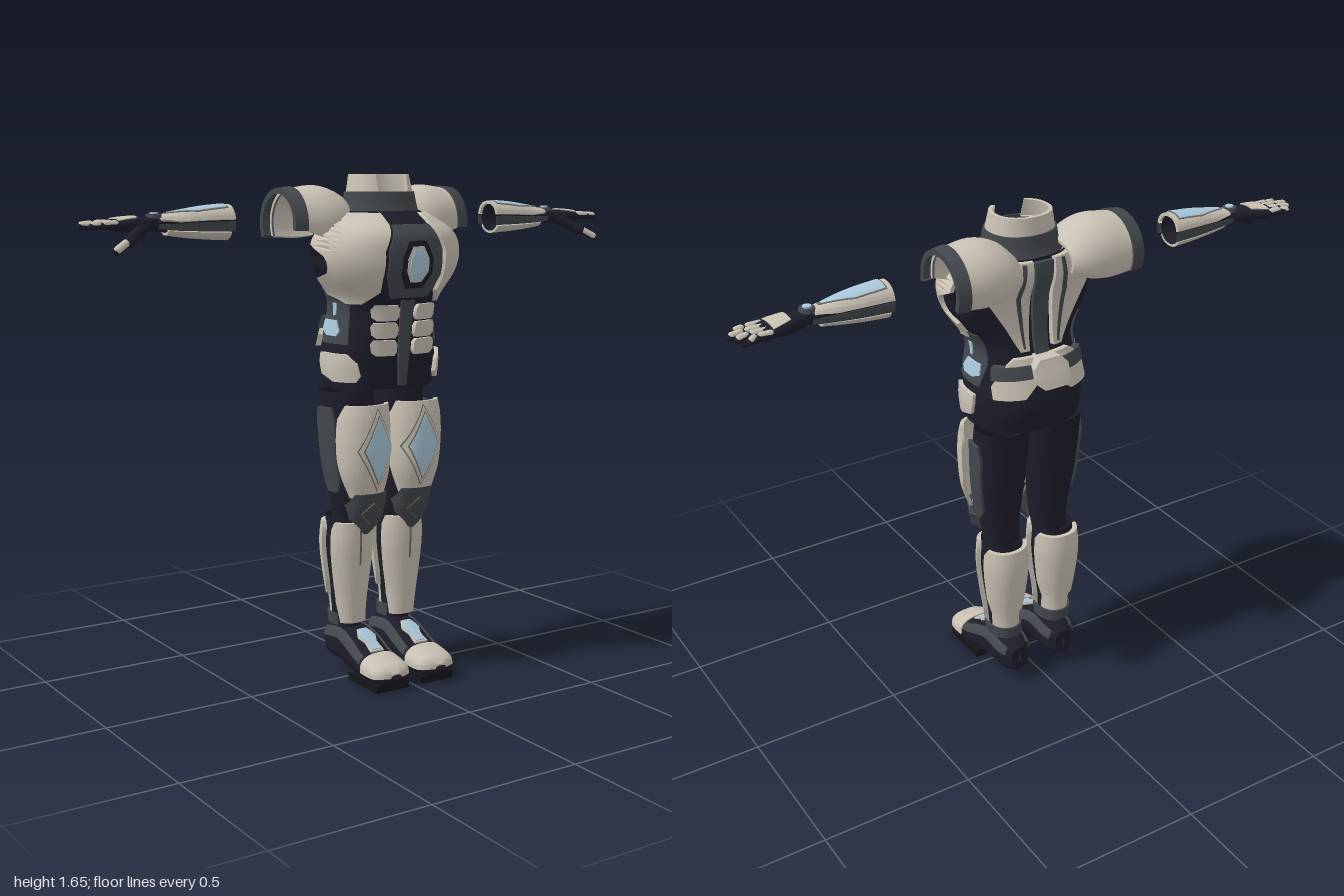
import * as THREE from 'three';
import { toCreasedNormals } from 'three/addons/utils/BufferGeometryUtils.js';

const paint = (name, color) => {
  const m = new THREE.MeshStandardMaterial({ color, side: THREE.DoubleSide });
  m.name = name;
  return m;
};
const ivory = paint('ivory armour', 0xc9c2b4), navy = paint('navy undersuit', 0x1d1d2a);
const grey = paint('dark grey trim', 0x43484d), blue = paint('pale blue glass', 0xa9c8da);
const seam = paint('seam brown', 0x6f6a60), black = paint('black sole', 0x15151a);

// Smooth interpolation of cross-section rows [t, cx, cz, rx, rFront, rBack]
function section(rows, t) {
  let i = 0;
  while (i < rows.length - 2 && t > rows[i + 1][0]) i++;
  const slope = (k, c) => {
    const a = rows[Math.max(k - 1, 0)], b = rows[Math.min(k + 1, rows.length - 1)];
    return (b[c] - a[c]) / (b[0] - a[0]);
  };
  const p = rows[i], q = rows[i + 1], h = q[0] - p[0];
  const u = THREE.MathUtils.clamp((t - p[0]) / h, 0, 1), u2 = u * u, u3 = u2 * u;
  return p.map((v, c) => (2 * u3 - 3 * u2 + 1) * v + (3 * u2 - 2 * u3) * q[c]
    + h * ((u3 - 2 * u2 + u) * slope(i, c) + (u3 - u2) * slope(i + 1, c)));
}

// A body of superelliptic sections; angle 0 is the front, 90 the side, 180 the back
function body(rows, axis = 'y', e = 0.9) {
  const bend = v => Math.sign(v) * Math.abs(v) ** e;
  return {
    at(t, deg, lift) {
      const [, cx, cz, rx, rf, rb] = section(rows, t), a = deg * Math.PI / 180;
      const c = Math.cos(a), x = cx + (rx + lift) * bend(Math.sin(a));
      const z = cz + ((c > 0 ? rf : rb) + lift) * bend(c);
      return axis === 'x' ? [t, -x, z] : axis === 'z' ? [x, -z, t] : [x, t, z];
    },
    // Angle at which the section has the given sideways offset
    angle(t, x) {
      const rx = section(rows, t)[3];
      return Math.sign(x) * Math.asin(Math.min(1, Math.abs(x) / rx) ** (1 / e)) * 180 / Math.PI;
    },
  };
}

// A raised plate on a body; outline rows are [t, start, end], in degrees or offsets
function plate(parent, name, mat, surf, outline, lift = 0, by = 'angle', base = 0) {
  const ts = [], cols = by === 'angle' ? 40 : 14;
  for (let i = 0; i < outline.length - 1; i++) {
    const [a, b] = [outline[i], outline[i + 1]];
    const n = Math.max(1, Math.ceil((b[0] - a[0]) / 0.02));
    for (let k = i ? 1 : 0; k <= n; k++) ts.push(a.map((v, c) => v + (b[c] - v) * k / n));
  }
  const pos = [], idx = [], W = cols + 1, H = ts.length;
  const point = (i, j, l) => {
    const [t, s, e] = ts[i], v = s + (e - s) * (by === 'back' ? 1 - j / cols : j / cols);
    const a = by === 'angle' ? v : by === 'front' ? surf.angle(t, v) : 180 - surf.angle(t, v);
    return surf.at(t, a, l);
  };
  for (let i = 0; i < H; i++) for (let j = 0; j < W; j++) pos.push(...point(i, j, lift));
  for (let i = 0; i < H - 1; i++) for (let j = 0; j < cols; j++) {
    const k = i * W + j;
    idx.push(k, k + 1, k + W + 1, k, k + W + 1, k + W);
  }
  if (lift > base) {   // edge of the plate
    const rim = [];
    for (let j = 0; j < cols; j++) rim.push([0, j]);
    for (let i = 0; i < H - 1; i++) rim.push([i, cols]);
    for (let j = cols; j > 0; j--) rim.push([H - 1, j]);
    for (let i = H - 1; i > 0; i--) rim.push([i, 0]);
    const o = pos.length / 3, n = rim.length;
    rim.forEach(([i, j]) => pos.push(...point(i, j, lift), ...point(i, j, base)));
    for (let k = 0; k < n; k++) {
      const a = o + 2 * k, b = o + 2 * ((k + 1) % n);
      idx.push(a, a + 1, b + 1, a, b + 1, b);
    }
  }
  const g = new THREE.BufferGeometry();
  g.setAttribute('position', new THREE.Float32BufferAttribute(pos, 3));
  g.setIndex(idx);
  return mesh(parent, name, mat, toCreasedNormals(g, 0.7));
}

function mesh(parent, name, mat, geo) {
  const m = new THREE.Mesh(geo, mat);
  m.name = name;
  parent.add(m);
  return m;
}
function limb(parent, name, mat, a, b, r) {
  const p = new THREE.Vector3(...a), d = new THREE.Vector3(...b).sub(p);
  const m = mesh(parent, name, mat, new THREE.CapsuleGeometry(r, d.length(), 4, 10));
  m.position.copy(p).addScaledVector(d, 0.5);
  m.quaternion.setFromUnitVectors(new THREE.Vector3(0, 1, 0), d.normalize());
}
const diamond = (y, x, w, h) => [[y - h, x, x], [y, x - w, x + w], [y + h, x, x]];
const hex = (y0, y1, w0, w) => [[y0, -w0, w0], [y0 + (y1 - y0) * 0.3, -w, w], [y0 + (y1 - y0) * 0.65, -w, w], [y1, -w0, w0]];

const trunk = body([
  [0.975, 0, -0.02, 0.184, 0.136, 0.152], [1.06, 0, -0.02, 0.191, 0.143, 0.164],
  [1.15, 0, -0.02, 0.177, 0.152, 0.141], [1.25, 0, -0.02, 0.167, 0.168, 0.106],
  [1.35, 0, -0.02, 0.228, 0.212, 0.098], [1.42, 0, -0.02, 0.243, 0.218, 0.103],
  [1.48, 0, -0.02, 0.215, 0.202, 0.122], [1.54, 0, -0.02, 0.13, 0.124, 0.118]], 'y', 0.82);

function buildTorso(g) {
  plate(g, 'torso undersuit', navy, trunk, [[0.975, -180, 180], [1.4, -180, 180]]);
  plate(g, 'upper chest undersuit', navy, trunk, [[1.4, -84, 84], [1.54, -90, 90]]);
  plate(g, 'upper back undersuit', navy, trunk, [[1.4, 118, 242], [1.54, 105, 255]]);
  // Chest centre
  plate(g, 'chest centre panel', grey, trunk, hex(1.27, 1.5, 0.065, 0.096), 0.012, 'front');
  plate(g, 'chest gem recess', navy, trunk, hex(1.3, 1.45, 0.03, 0.054), 0.015, 'front');
  plate(g, 'chest gem frame', ivory, trunk, hex(1.32, 1.433, 0.018, 0.037), 0.018, 'front');
  plate(g, 'chest gem', blue, trunk, hex(1.328, 1.424, 0.014, 0.029), 0.021, 'front');
  plate(g, 'belly strip', grey, trunk, [[0.985, -0.015, 0.015], [1.1, -0.02, 0.02], [1.26, -0.024, 0.024]], 0.008, 'front');
  // Spine and belt at the back
  plate(g, 'spine', grey, trunk, [[1.22, -0.022, 0.022], [1.53, -0.03, 0.03]], 0.014, 'back');
  plate(g, 'back belt', grey, trunk, [[1.16, 122, 238], [1.2, 122, 238]], 0.021);
  plate(g, 'back pack', ivory, trunk, [[1.135, -0.028, 0.028], [1.155, -0.046, 0.046], [1.2, -0.046, 0.046], [1.225, -0.028, 0.028]], 0.058, 'back');
  // Collar, open at the throat
  const collar = body([[1.5, 0, -0.01, 0.135, 0.12, 0.13], [1.55, 0, -0.01, 0.118, 0.1, 0.105],
    [1.6, 0, -0.01, 0.108, 0.09, 0.098], [1.655, 0, -0.015, 0.098, 0.085, 0.088]]);
  plate(g, 'collar base', grey, collar, [[1.53, -180, 180], [1.6, -180, 180]], 0.006);
  plate(g, 'collar', ivory, collar, [[1.595, 28, 332], [1.655, 34, 326]], 0, 'angle', -0.012);
}

function buildTorsoSide(g) {
  plate(g, 'chest plate', ivory, trunk, [[1.25, 0.135, 0.158], [1.29, 0.1, 0.19], [1.33, 0.107, 0.217],
    [1.42, 0.107, 0.242], [1.5, 0.074, 0.3], [1.535, 0.07, 0.3]], 0.015, 'front');
  for (let i = 0; i < 3; i++) {
    const y = 1.085 + i * 0.056;
    plate(g, 'belly plate', ivory, trunk, [[y, 0.038, 0.095], [y + 0.012, 0.03, 0.11],
      [y + 0.038, 0.03, 0.113], [y + 0.05, 0.038, 0.105]], 0.015, 'front');
  }
  plate(g, 'hip plate', ivory, trunk, [[1.0, 48, 80], [1.02, 42, 95], [1.06, 46, 98], [1.09, 62, 98]], 0.013);
  plate(g, 'waist panel', grey, trunk, [[1.12, 62, 102], [1.2, 66, 114], [1.295, 70, 110]], 0.007);
  plate(g, 'waist window', blue, trunk, [[1.145, 80, 93], [1.16, 76, 104], [1.195, 83, 104]], 0.012);
  plate(g, 'waist light', blue, trunk, [[1.21, 86, 89], [1.25, 84, 89]], 0.011);
  plate(g, 'back plate', ivory, trunk, [[1.24, 0.04, 0.068], [1.32, 0.04, 0.11], [1.42, 0.038, 0.17], [1.535, 0.035, 0.13]], 0.016, 'back');
  plate(g, 'back plate strip', grey, trunk, [[1.25, 0.052, 0.058], [1.42, 0.07, 0.085], [1.53, 0.055, 0.067]], 0.019, 'back');
  plate(g, 'lower back plate', ivory, trunk, [[1.1, 125, 160], [1.14, 122, 172], [1.19, 135, 172], [1.22, 150, 172]], 0.017);
  // Shoulder guard
  const pad = body([[0.09, -1.5, -0.09, 0.06, 0.085, 0.085], [0.13, -1.5, -0.09, 0.097, 0.115, 0.105],
    [0.2, -1.5, -0.09, 0.12, 0.128, 0.118], [0.29, -1.5, -0.09, 0.111, 0.113, 0.116],
    [0.33, -1.5, -0.09, 0.106, 0.106, 0.113]], 'x', 1);
  plate(g, 'shoulder guard', ivory, pad, [[0.09, -205, 25], [0.2, -205, 25], [0.295, -205, 10]], 0, 'angle', -0.01);
  plate(g, 'shoulder guard rim', grey, pad, [[0.288, -205, 10], [0.33, -205, 10]], 0.006, 'angle', -0.012);
}

function buildArm(g) {
  const arm = body([[0.5, -1.507, -0.097, 0.053, 0.052, 0.05], [0.6, -1.506, -0.096, 0.046, 0.046, 0.044],
    [0.7, -1.504, -0.095, 0.033, 0.033, 0.032], [0.78, -1.506, -0.095, 0.02, 0.026, 0.026]], 'x');
  plate(g, 'forearm sleeve', navy, arm, [[0.515, -180, 180], [0.78, -180, 180]], -0.006);
  plate(g, 'upper forearm plate', ivory, arm, [[0.505, -170, -10], [0.68, -168, -12], [0.74, -150, -30]], 0.004, 'angle', -0.006);
  plate(g, 'lower forearm plate', ivory, arm, [[0.515, 30, 152], [0.72, 30, 152]], 0.002, 'angle', -0.006);
  for (const a of [10, 172]) plate(g, 'forearm strip', grey, arm, [[0.505, a - 15, a + 15], [0.75, a - 15, a + 15]], 0.003);
  plate(g, 'forearm window frame', seam, arm, [[0.52, -128, -54], [0.62, -132, -48], [0.722, -98, -82]], 0.006);
  plate(g, 'forearm window', blue, arm, [[0.525, -124, -58], [0.62, -127, -53], [0.712, -98, -82]], 0.008);
  // Wrist and hand
  const disc = mesh(g, 'wrist ring', grey, new THREE.CylinderGeometry(0.023, 0.026, 0.012, 20));
  disc.position.set(0.755, 1.532, -0.095);
  const lens = mesh(g, 'wrist lens', blue, new THREE.CylinderGeometry(0.013, 0.013, 0.006, 20));
  lens.position.set(0.755, 1.54, -0.095);
  const palm = body([[0.75, -1.508, -0.095, 0.018, 0.022, 0.022], [0.8, -1.507, -0.1, 0.023, 0.04, 0.038],
    [0.87, -1.506, -0.108, 0.02, 0.05, 0.046], [0.905, -1.507, -0.108, 0.012, 0.046, 0.044]], 'x', 0.8);
  plate(g, 'palm', navy, palm, [[0.75, -180, 180], [0.905, -180, 180]]);
  plate(g, 'back of hand plate', ivory, palm, [[0.82, -125, -55], [0.88, -140, -40]], 0.004);
  [0.975, 1, 0.99, 0.965].forEach((tip, i) => {
    const z = -0.07 - i * 0.026, y = 1.507, x = 0.89, m = x + (tip - x) * 0.5;
    limb(g, 'finger', navy, [x - 0.01, y, z], [tip - 0.011, y - 0.004, z - i * 0.002], 0.0108);
    limb(g, 'finger plate', ivory, [x, y + 0.004, z], [m - 0.01, y + 0.004, z], 0.0106);
    limb(g, 'fingertip plate', ivory, [m + 0.012, y + 0.003, z], [tip - 0.016, y + 0.001, z - i * 0.002], 0.0102);
  });
  limb(g, 'thumb base', navy, [0.8, 1.498, -0.075], [0.865, 1.46, -0.03], 0.018);
  limb(g, 'thumb', navy, [0.865, 1.46, -0.03], [0.915, 1.433, -0.012], 0.0115);
  limb(g, 'thumb plate', ivory, [0.88, 1.455, -0.023], [0.912, 1.437, -0.011], 0.0122);
}

function buildLeg(g) {
  const thigh = body([[0.52, 0.095, -0.048, 0.06, 0.048, 0.05], [0.6, 0.095, -0.036, 0.066, 0.06, 0.064],
    [0.75, 0.098, -0.045, 0.084, 0.07, 0.073], [0.9, 0.098, -0.055, 0.09, 0.082, 0.082], [0.96, 0.097, -0.06, 0.09, 0.08, 0.086]]);
  plate(g, 'thigh', navy, thigh, [[0.52, -180, 180], [0.96, -180, 180]]);
  plate(g, 'thigh side panel', grey, thigh, [[0.63, 66, 96], [0.66, 56, 110], [0.87, 56, 108], [0.91, 62, 98]], 0.013);
  // Front thigh guard with its window
  const guard = body([[0.62, 0.095, 0.04, 0.063, 0.055, 0.05], [0.7, 0.098, 0.032, 0.088, 0.083, 0.05],
    [0.8, 0.1, 0.03, 0.095, 0.094, 0.05], [0.88, 0.1, 0.034, 0.092, 0.086, 0.05], [0.925, 0.098, 0.04, 0.085, 0.07, 0.05]]);
  plate(g, 'thigh guard', ivory, guard, [[0.62, -80, 80], [0.75, -90, 90], [0.88, -90, 90], [0.925, -75, 75]], 0, 'angle', -0.012);
  [[seam, 0.071, 0.136], [ivory, 0.067, 0.129], [seam, 0.053, 0.114], [blue, 0.049, 0.107]].forEach(([m, w, h], i) =>
    plate(g, m === blue ? 'thigh window' : 'thigh window frame', m, guard, diamond(0.78, -0.01, w, h), 0.002 * (i + 1), 'front'));
  // Knee
  const knee = body([[0.48, 0.09, 0, 0.062, 0.035, 0.04], [0.56, 0.09, 0.01, 0.07, 0.06, 0.04], [0.64, 0.09, 0.03, 0.07, 0.064, 0.04]]);
  plate(g, 'knee guard', grey, knee, [[0.49, -0.004, 0.004], [0.55, -0.06, 0.06], [0.595, -0.069, 0.069], [0.635, -0.055, 0.055]], 0.008, 'front', -0.008);
  plate(g, 'knee ridge', seam, knee, diamond(0.565, 0, 0.034, 0.038), 0.012, 'front');
  plate(g, 'knee cap', grey, knee, diamond(0.565, 0, 0.031, 0.035), 0.014, 'front');
  // Lower leg
  const shin = body([[0.15, 0.097, -0.06, 0.05, 0.058, 0.066], [0.25, 0.1, -0.06, 0.056, 0.068, 0.07],
    [0.35, 0.1, -0.06, 0.071, 0.076, 0.083], [0.45, 0.1, -0.06, 0.08, 0.083, 0.09], [0.53, 0.1, -0.058, 0.074, 0.08, 0.084]]);
  plate(g, 'calf undersuit', navy, shin, [[0.15, -180, 180], [0.54, -180, 180]], -0.01);
  plate(g, 'shin guard', ivory, shin, [[0.18, -60, 60], [0.25, -72, 72], [0.5, -72, 72], [0.525, -65, 65]], 0.005, 'angle', -0.01);
  plate(g, 'shin seam', seam, shin, [[0.38, -2, 1], [0.5, -2, 1]], 0.007);
  plate(g, 'calf guard', ivory, shin, [[0.27, 110, 250], [0.32, 100, 260], [0.5, 100, 260], [0.52, 108, 252]], 0.005, 'angle', -0.01);
  plate(g, 'ankle guard', ivory, shin, [[0.205, 100, 260], [0.275, 105, 255]], -0.003);
  plate(g, 'ankle band', grey, shin, [[0.17, 70, 290], [0.21, 70, 290]], 0.006);
  // Boot
  const boot = body([[-0.158, 0.09, -0.09, 0.035, 0.045, 0.05], [-0.12, 0.09, -0.092, 0.056, 0.052, 0.065],
    [-0.03, 0.09, -0.1, 0.06, 0.065, 0.068], [0.03, 0.088, -0.08, 0.066, 0.056, 0.07],
    [0.1, 0.088, -0.06, 0.069, 0.043, 0.05], [0.17, 0.088, -0.053, 0.07, 0.036, 0.036],
    [0.21, 0.088, -0.05, 0.052, 0.027, 0.024], [0.226, 0.088, -0.048, 0.012, 0.006, 0.006]], 'z', 0.8);
  plate(g, 'boot', navy, boot, [[-0.158, 0, 360], [0.226, 0, 360]]);
  plate(g, 'heel cap', navy, boot, [[-0.158, 0, 360], [-0.157, 0, 360]], -0.002, 'angle', -0.03);
  plate(g, 'toe cap', ivory, boot, [[0.12, 85, 275], [0.19, 85, 275], [0.223, 90, 270]], 0.005);
  for (const [a, b] of [[105, 138], [222, 255]]) {
    plate(g, 'boot side panel', grey, boot, [[-0.14, a, b], [0.11, a, b]], 0.006);
  }
  plate(g, 'instep frame', ivory, boot, [[0.015, 168, 192], [0.045, 156, 204], [0.07, 166, 194], [0.11, 164, 196]], 0.005);
  plate(g, 'instep light', blue, boot, [[0.02, 173, 187], [0.045, 162, 198], [0.07, 171, 189], [0.105, 171, 189]], 0.008);
  const sole = mesh(g, 'sole', black, new THREE.BoxGeometry(0.126, 0.025, 0.17));
  sole.position.set(0.088, 0.0125, 0.118);
}

export function createModel() {
  const model = new THREE.Group(), torso = new THREE.Group();
  model.name = 'armour suit';
  torso.name = 'torso';
  buildTorso(torso);
  model.add(torso);
  for (const side of [1, -1]) {
    for (const [name, build] of [['TorsoArmour', buildTorsoSide], ['Arm', buildArm], ['Leg', buildLeg]]) {
      const g = new THREE.Group();
      g.name = (side > 0 ? 'left' : 'right') + name;
      build(g);
      g.scale.x = side;
      model.add(g);
    }
  }
  return model;
}
